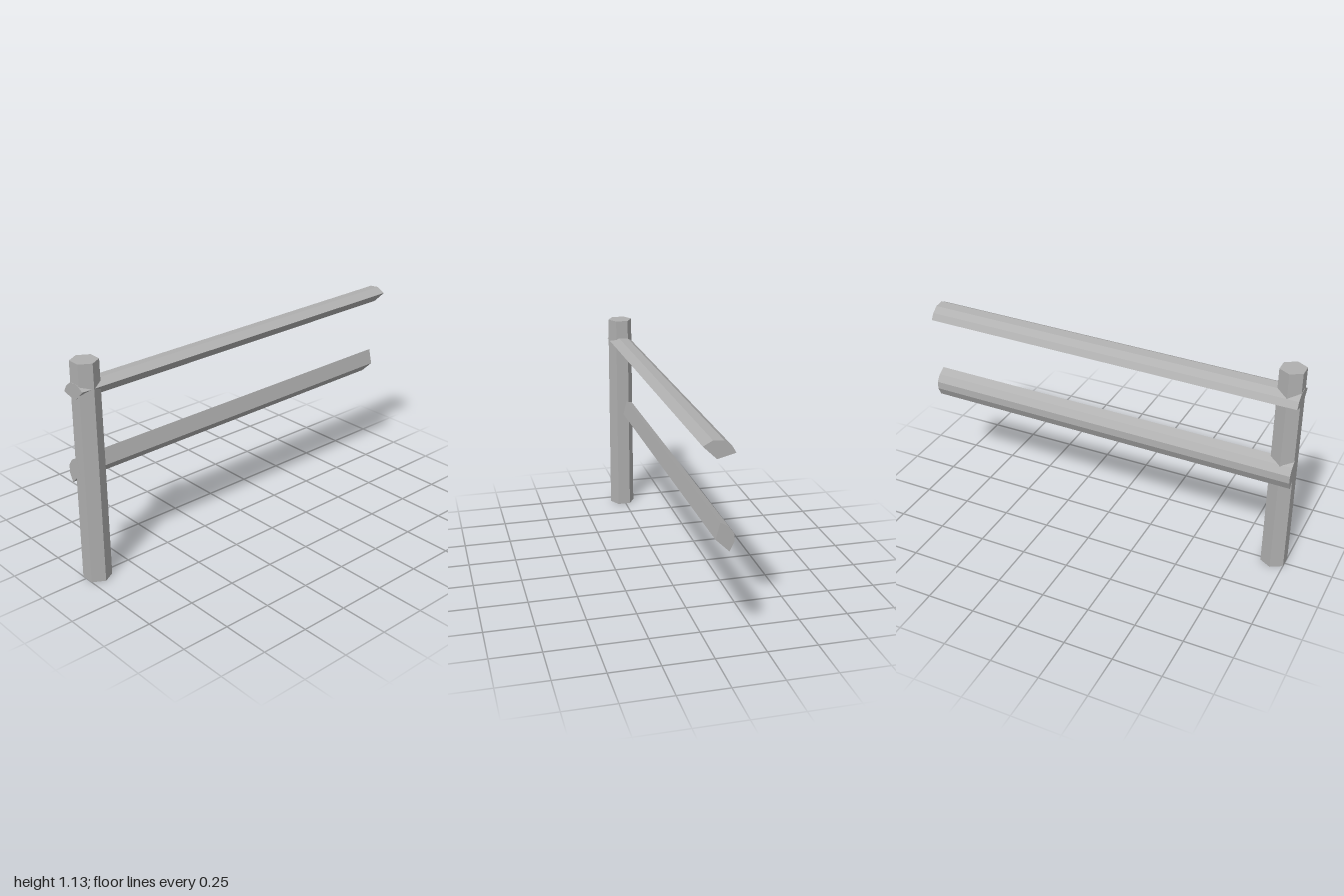
import * as THREE from 'three';

const LEFT = -1, RIGHT = 0.995, DROP = 0.02;

// Split-log rail: a wedge section given as [z, y] at the right end, running along x and sinking to the left
function makeRail(name, section, material) {
  const shape = new THREE.Shape(section.map(([z, y]) => new THREE.Vector2(-z, y)));
  const geometry = new THREE.ExtrudeGeometry(shape, { depth: RIGHT - LEFT, bevelEnabled: false });
  geometry.rotateY(Math.PI / 2).translate(LEFT, 0, 0);
  const p = geometry.attributes.position;
  for (let i = 0; i < p.count; i++) {
    const t = (RIGHT - p.getX(i)) / (RIGHT - LEFT);
    p.setY(i, p.getY(i) - DROP * t);
  }
  geometry.computeVertexNormals();
  const rail = new THREE.Mesh(geometry, material);
  rail.name = name;
  return rail;
}

export function createModel() {
  const group = new THREE.Group();
  group.name = 'fenceSection';

  const wood = new THREE.MeshStandardMaterial({ color: 0xb0b0b0, flatShading: true });
  wood.name = 'greyWood';

  // Six-sided post, very slightly narrower at the top
  const post = new THREE.Mesh(new THREE.CylinderGeometry(0.067, 0.07, 1.13, 6), wood);
  post.name = 'post';
  post.position.set(-0.94, 0.565, 0.01);
  group.add(post);

  // Upper rail lies with its rounded side up, the lower one with its rounded side to the back
  group.add(makeRail('upperRail', [
    [0.072, 1.026], [0.027, 1.05], [-0.024, 1.045], [-0.058, 1.019], [-0.077, 0.986], [0.008, 0.964],
  ], wood));
  group.add(makeRail('lowerRail', [
    [0.008, 0.59], [-0.012, 0.67], [-0.053, 0.646], [-0.078, 0.611], [-0.078, 0.571], [-0.057, 0.527],
  ], wood));

  return group;
}
